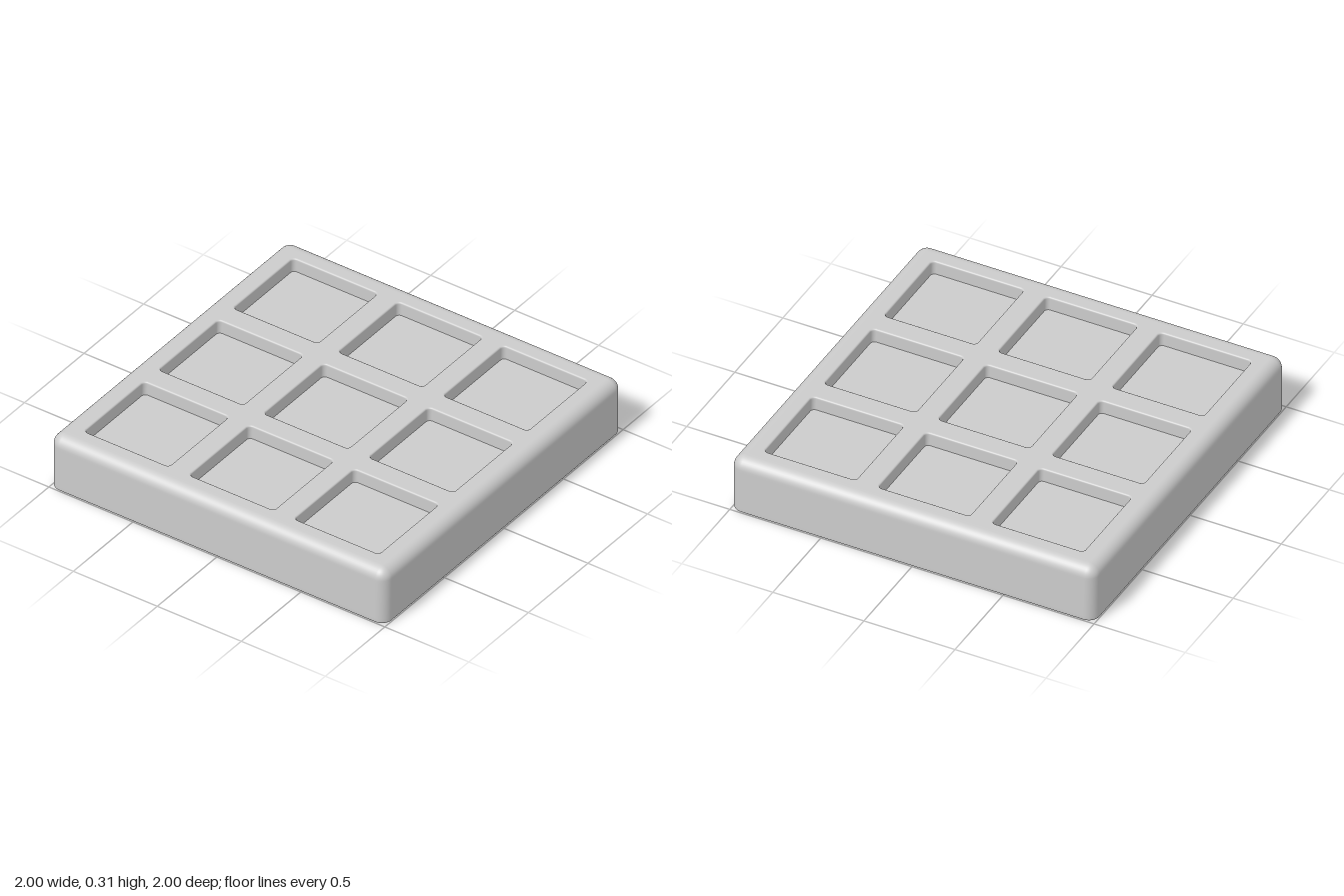
import * as THREE from 'three';

const TOP = 0.315;      // height of the tray
const EDGE = 0.06;      // radius of the outer rounding
const PITCH = 0.625;    // spacing of the pockets
const HOLE = 0.26;      // half size of a pocket opening, lip included
const LIP = 0.008;
const DEPTH = 0.075;

const material = new THREE.MeshStandardMaterial({ color: 0xcccccc, side: THREE.DoubleSide });

// Counter-clockwise outline of a rounded square
function outline(half, radius, cx = 0, cy = 0, steps = 8) {
  const points = [];
  for (let corner = 0; corner < 4; corner++) {
    const mid = (corner + 0.5) * Math.PI / 2;
    const sx = Math.sign(Math.cos(mid)), sy = Math.sign(Math.sin(mid));
    for (let i = 0; i <= steps; i++) {
      const a = (corner + i / steps) * Math.PI / 2;
      points.push(new THREE.Vector2(
        cx + sx * (half - radius) + radius * Math.cos(a),
        cy + sy * (half - radius) + radius * Math.sin(a)));
    }
  }
  return points;
}

// Smooth skin through stacked rounded squares; profile rows are [inset, y]
function skin(half, radius, profile) {
  const positions = [], index = [];
  let n = 0;
  for (const [inset, y] of profile) {
    const ring = outline(half - inset, Math.max(radius - inset, 0.004));
    n = ring.length;
    for (const p of ring) positions.push(p.x, y, -p.y);
  }
  for (let r = 0; r < profile.length - 1; r++) {
    for (let i = 0; i < n; i++) {
      const a = r * n + i, b = r * n + (i + 1) % n;
      index.push(a, b, b + n, a, b + n, a + n);
    }
  }
  const geometry = new THREE.BufferGeometry();
  geometry.setAttribute('position', new THREE.Float32BufferAttribute(positions, 3));
  geometry.setIndex(index);
  geometry.computeVertexNormals();
  return geometry;
}

// Horizontal sheet facing up
function sheet(points, holes, y) {
  const shape = new THREE.Shape(points);
  shape.holes = holes.map(h => new THREE.Path(h));
  return new THREE.ShapeGeometry(shape).rotateX(-Math.PI / 2).translate(0, y, 0);
}

// Quarter round as [inset, y] rows
function quarter(steps, fn) {
  return Array.from({ length: steps + 1 }, (_, i) => fn(i / steps * Math.PI / 2));
}

export function createModel() {
  const group = new THREE.Group();
  const add = (parent, name, geometry) => {
    const mesh = new THREE.Mesh(geometry, material);
    mesh.name = name;
    parent.add(mesh);
  };

  // Outer wall, open underneath, with a small rounded foot and a round top edge
  const foot = 0.012;
  add(group, 'outerWall', skin(1, EDGE, [
    ...quarter(4, a => [foot * (1 - Math.sin(a)), foot * (1 - Math.cos(a))]),
    [0, 0.03], [0, TOP - EDGE - 0.015],
    ...quarter(10, a => [EDGE * (1 - Math.cos(a)), TOP - EDGE * (1 - Math.sin(a))]),
    [EDGE + 0.02, TOP],
  ]));

  // Top plate with a three by three grid of openings
  const cells = [];
  for (let row = -1; row <= 1; row++)
    for (let col = -1; col <= 1; col++) cells.push([col * PITCH, row * PITCH]);
  add(group, 'topPlate', sheet(
    outline(1 - EDGE - 0.02, 0.004),
    cells.map(([x, z]) => outline(HOLE, 0.03, x, -z).reverse()), TOP));

  // Sunken pockets, thin walled so they also show from below
  const wall = skin(HOLE, 0.03, [
    ...quarter(4, a => [LIP * Math.sin(a), TOP - LIP * (1 - Math.cos(a))]),
    [LIP, TOP - 0.015], [LIP, TOP - DEPTH],
  ]);
  const floor = sheet(outline(HOLE - LIP, 0.03 - LIP), [], TOP - DEPTH);
  for (const [x, z] of cells) {
    const pocket = new THREE.Group();
    pocket.name = 'pocket';
    pocket.position.set(x, 0, z);
    add(pocket, 'pocketWall', wall);
    add(pocket, 'pocketFloor', floor);
    group.add(pocket);
  }
  return group;
}
